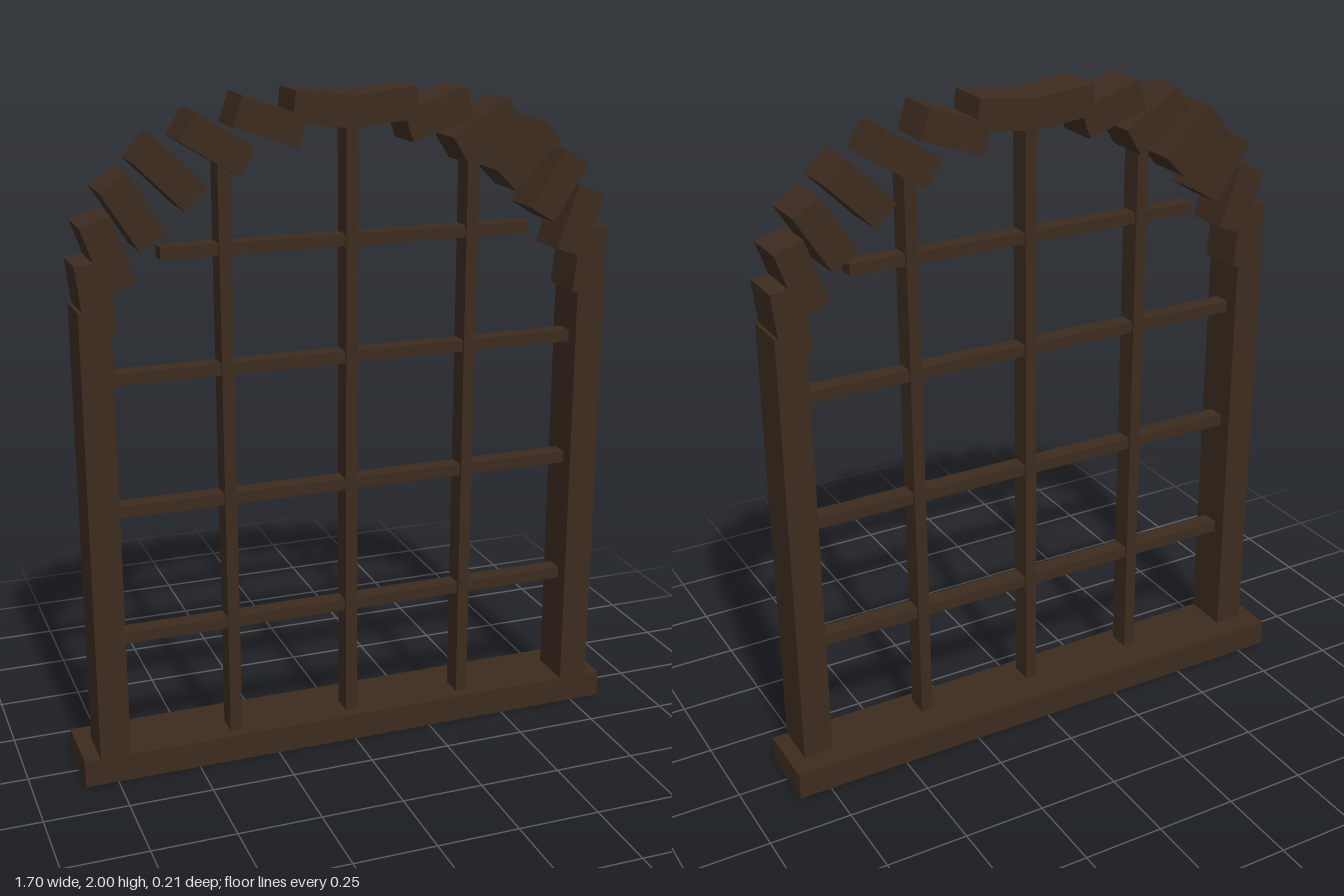
import * as THREE from 'three';

export function createModel() {
  const model = new THREE.Group();
  model.name = 'archedWindowFrame';
  const wood = new THREE.MeshStandardMaterial({ color: 0x3d2b1f });
  wood.name = 'dark brown wood';

  function addBox(name, w, h, d, x, y, z, tilt = 0) {
    const mesh = new THREE.Mesh(new THREE.BoxGeometry(w, h, d), wood);
    mesh.name = name;
    mesh.position.set(x, y, z);
    mesh.rotation.z = tilt;
    model.add(mesh);
  }

  const frameZ = 0.036; // centre plane of posts, bars and arch
  const frameDepth = 0.142;
  const sillTop = 0.083;

  // Sill, reaching further back than the frame
  addBox('sill', 1.695, sillTop, 0.214, 0, sillTop / 2, 0);

  // Side posts and arch blocks, mirrored left and right
  const postTop = 1.43;
  const blockCount = 7;
  for (const side of [1, -1]) {
    const name = side > 0 ? 'left' : 'right';
    addBox(name + 'Post', 0.09, postTop - sillTop, frameDepth, side * 0.755, (postTop + sillTop) / 2, frameZ);

    // Blocks follow half an ellipse, each tilted up towards the outside
    for (let i = 0; i < blockCount; i++) {
      const a = ((i + 0.5) / blockCount) * (Math.PI / 2);
      addBox(name + 'ArchBlock' + (i + 1), 0.197, 0.09, frameDepth,
        side * 0.753 * Math.sin(a), 1.403 + 0.542 * Math.cos(a), frameZ, side * a);
    }
  }

  // Upright glazing bars
  for (const [x, top] of [[-0.374, 1.82], [0, 1.93], [0.374, 1.82]]) {
    addBox('uprightBar', 0.036, top - sillTop, 0.07, x, (top + sillTop) / 2, frameZ);
  }

  // Cross bars, the top one shorter and free-ended
  for (const [y, width] of [[0.438, 1.43], [0.83, 1.43], [1.222, 1.43], [1.567, 1.115]]) {
    addBox('crossBar', width, 0.035, 0.054, 0, y, frameZ);
  }

  return model;
}
